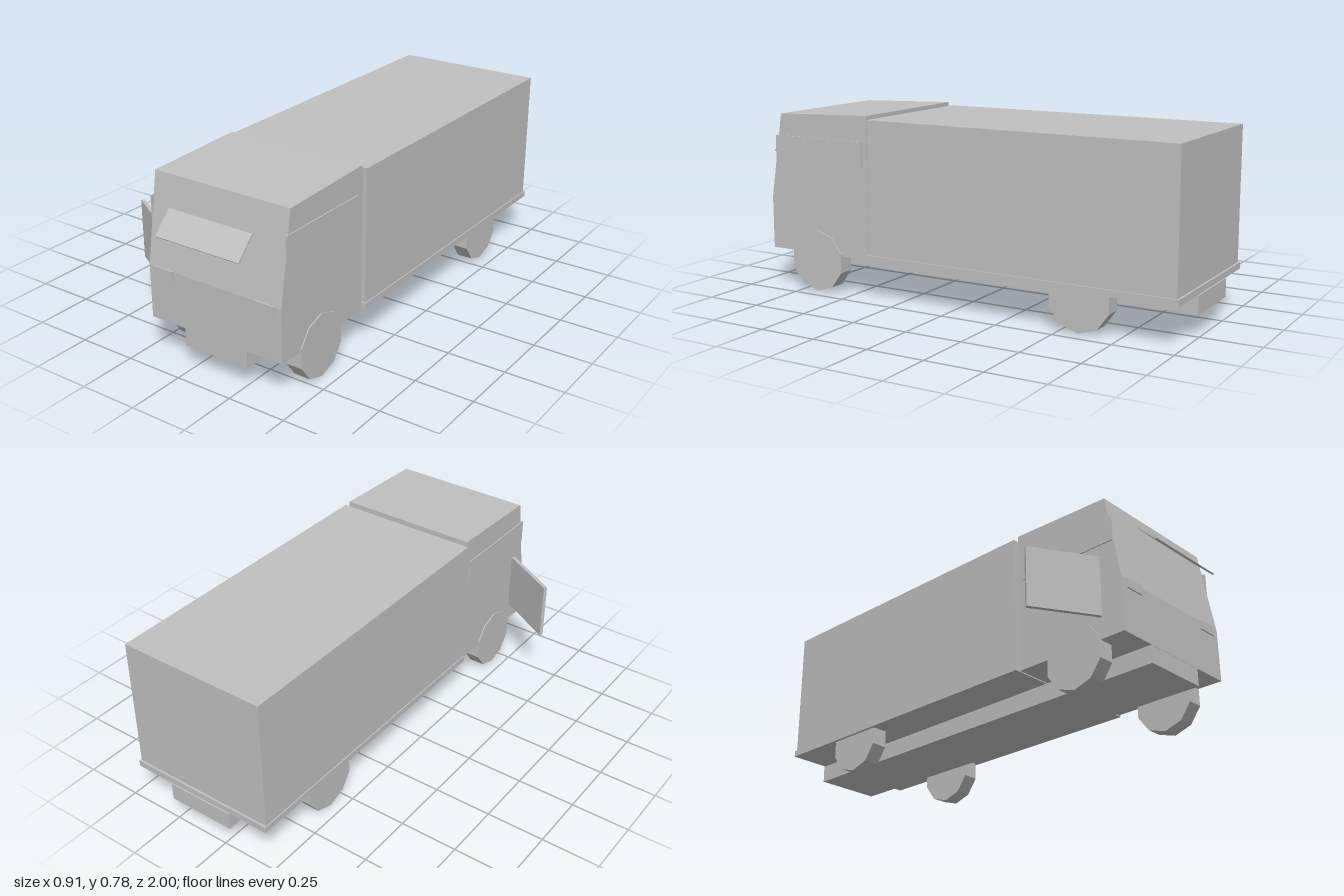
import * as THREE from 'three';

export function createModel() {
  const group = new THREE.Group();
  group.name = 'boxTruck';
  const grey = new THREE.MeshStandardMaterial({ color: 0xc0c0c0 });
  grey.name = 'plain grey';
  const midX = 0.12; // centre line of the vehicle

  function add(name, geometry, x = 0, y = 0, z = 0) {
    const mesh = new THREE.Mesh(geometry, grey);
    mesh.name = name;
    mesh.position.set(x, y, z);
    group.add(mesh);
    return mesh;
  }

  // Box given by its limits on each axis
  function block(name, [x0, x1], [y0, y1], [z0, z1]) {
    return add(name, new THREE.BoxGeometry(x1 - x0, y1 - y0, z1 - z0),
      (x0 + x1) / 2, (y0 + y1) / 2, (z0 + z1) / 2);
  }

  // Chassis, load bed and cargo body
  block('chassis', [-0.03, 0.27], [0.085, 0.161], [-1, 0.914]);
  block('loadBed', [-0.213, 0.453], [0.16, 0.187], [-0.994, 0.395]);
  block('cargoBody', [-0.208, 0.448], [0.165, 0.755], [-0.985, 0.39]);

  // Cab: side profile (z, y) extruded across the width
  const profile = [[0.402, 0.16], [0.915, 0.16], [0.915, 0.385], [0.853, 0.755], [0.402, 0.77]];
  const cabShape = new THREE.Shape(profile.map(([z, y]) => new THREE.Vector2(z, y)));
  const cabWidth = 0.63;
  const cabGeometry = new THREE.ExtrudeGeometry(cabShape, { depth: cabWidth, bevelEnabled: false });
  cabGeometry.translate(0, 0, -cabWidth / 2);
  cabGeometry.rotateY(-Math.PI / 2);
  add('cab', cabGeometry, midX);

  // Raised windscreen flap, tilted forward
  const flap = add('windscreenFlap', new THREE.BoxGeometry(0.39, 0.117, 0.006), midX, 0.608, 0.957);
  flap.rotation.x = -Math.PI / 4;

  // Open door panel, hinged at its front edge
  const door = add('openDoor', new THREE.BoxGeometry(0.295, 0.253, 0.016), -0.326, 0.376, 0.741);
  door.rotation.y = -Math.atan2(0.15, 0.255);

  // Mirrored parts
  for (const side of [-1, 1]) {
    const label = side > 0 ? 'left' : 'right';

    add(label + 'SideWindow', new THREE.BoxGeometry(0.008, 0.105, 0.455), midX + side * 0.316, 0.608, 0.655);
    add(label + 'Headlight', new THREE.BoxGeometry(0.09, 0.04, 0.03), midX + side * 0.24, 0.369, 0.906);

    // Ten-sided wheels standing on a flat edge
    for (const [end, z] of [['Front', 0.675], ['Rear', -0.583]]) {
      const wheel = new THREE.CylinderGeometry(0.135, 0.135, 0.07, 10).toNonIndexed();
      wheel.rotateZ(Math.PI / 2);
      wheel.rotateX(Math.PI / 2);
      wheel.computeVertexNormals();
      add(label + end + 'Wheel', wheel, midX + side * 0.285, 0.1284, z);
    }
  }
  return group;
}
